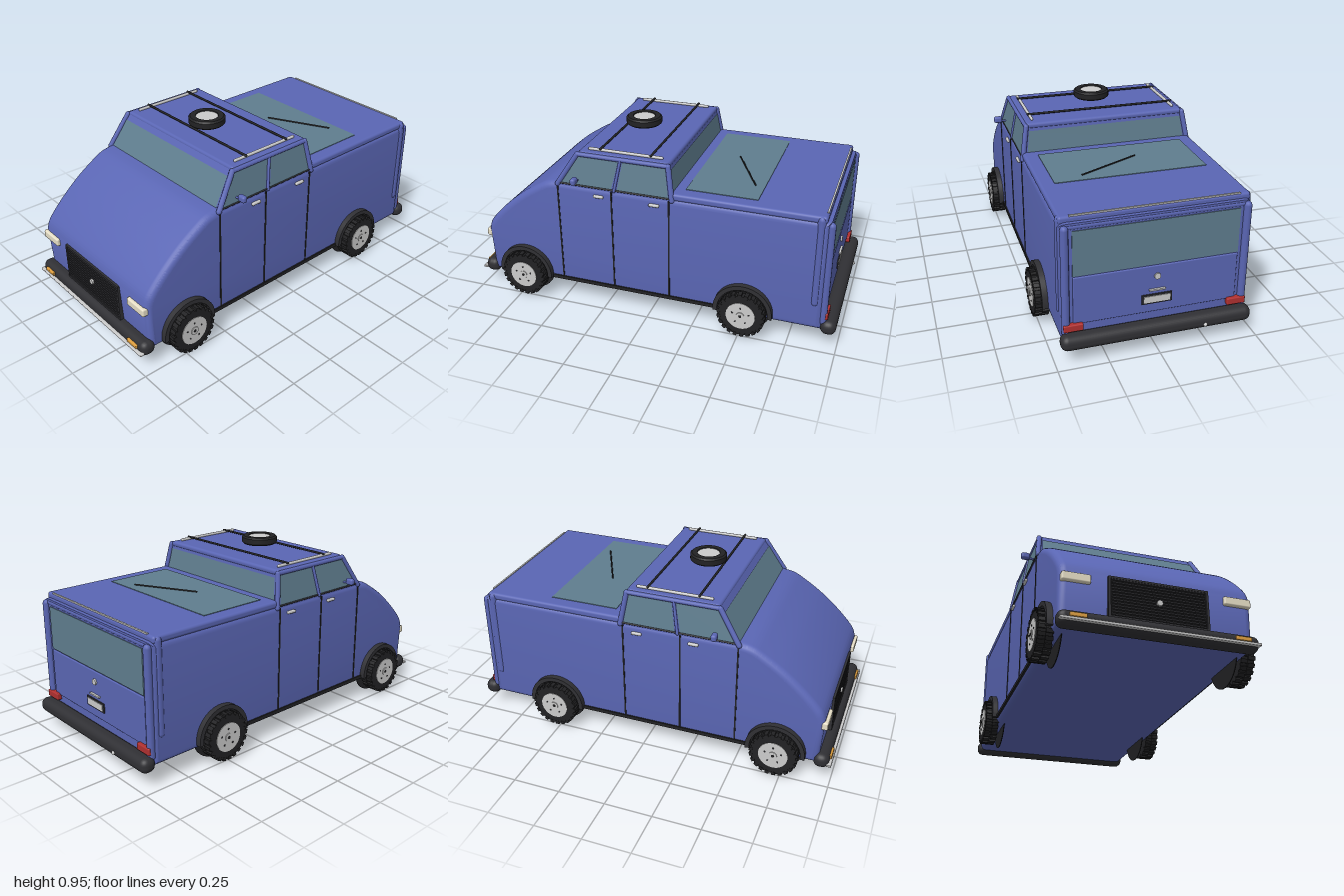
import * as THREE from 'three';
import { toCreasedNormals } from 'three/addons/utils/BufferGeometryUtils.js';
import { RoundedBoxGeometry } from 'three/addons/geometries/RoundedBoxGeometry.js';

const mat = (color) => new THREE.MeshStandardMaterial({ color });
const paint = mat(0x5a66b4), glass = mat(0x5f7d8e), black = mat(0x222224), trim = mat(0x303034);
const grey = mat(0xcccccc), cream = mat(0xe8e0c8), amber = mat(0xe0a040), red = mat(0xb03030);
glass.side = THREE.DoubleSide;

const V = (x, y, z) => new THREE.Vector3(x, y, z);

export function createModel() {
  const root = new THREE.Group();

  function add(name, geo, m, x = 0, y = 0, z = 0, parent = root) {
    const mesh = new THREE.Mesh(geo, m);
    mesh.name = name;
    mesh.position.set(x, y, z);
    parent.add(mesh);
    return mesh;
  }
  // Box given by its extents on each axis; r rounds the edges
  function box(name, m, [x0, x1], [y0, y1], [z0, z1], r = 0) {
    const s = [x1 - x0, y1 - y0, z1 - z0];
    const geo = r ? new RoundedBoxGeometry(...s, 3, r) : new THREE.BoxGeometry(...s);
    return add(name, geo, m, (x0 + x1) / 2, (y0 + y1) / 2, (z0 + z1) / 2);
  }
  // Round bar with domed ends between two points
  function bar(name, m, a, b, r) {
    const mesh = add(name, new THREE.CapsuleGeometry(r, a.distanceTo(b), 4, 10), m);
    mesh.position.copy(a).add(b).multiplyScalar(0.5);
    mesh.quaternion.setFromUnitVectors(V(0, 1, 0), b.clone().sub(a).normalize());
    return mesh;
  }
  // Flat polygon given by its corners
  function panel(name, m, pts) {
    const g = new THREE.BufferGeometry().setFromPoints(pts);
    g.setIndex(pts.slice(2).flatMap((_, i) => [0, i + 1, i + 2]));
    g.computeVertexNormals();
    return add(name, g, m);
  }
  // Disc or drum with its axis along x
  const drum = (r, w, n = 32) => new THREE.CylinderGeometry(r, r, w, n).rotateZ(Math.PI / 2);

  // Lower body: side profile with rolled edges
  const s = new THREE.Shape();
  s.moveTo(-0.92, 0.1);
  s.lineTo(0.93, 0.1);
  s.lineTo(0.944, 0.36);
  s.splineThru([[0.92, 0.415], [0.837, 0.505], [0.73, 0.597], [0.623, 0.668], [0.56, 0.7], [0.49, 0.712]]
    .map(([a, b]) => new THREE.Vector2(a, b)));
  s.lineTo(-0.92, 0.712);
  const bevel = 0.035, depth = 0.93 - 2 * bevel;
  const bodyGeo = new THREE.ExtrudeGeometry(s, {
    depth, bevelSize: bevel, bevelThickness: bevel, bevelOffset: -bevel, bevelSegments: 5, curveSegments: 24,
  });
  bodyGeo.translate(0, 0, -depth / 2).rotateY(-Math.PI / 2);
  add('body', toCreasedNormals(bodyGeo, 0.6), paint);

  // Rear deck with skylight, wiper and chrome strip
  box('rearDeck', paint, [-0.462, 0.462], [0.7, 0.738], [-0.9, -0.12], 0.014);
  box('deckGlass', glass, [-0.39, 0.39], [0.73, 0.741], [-0.55, -0.18]);
  bar('deckWiper', black, V(-0.08, 0.745, -0.34), V(0.24, 0.745, -0.5), 0.004);
  box('deckStrip', grey, [-0.41, 0.41], [0.735, 0.742], [-0.897, -0.888]);

  // Cabin: a tapered box, corners by (right/left, low/high, rear/front)
  const corner = (x, v, front) => {
    const z0 = front ? 0.5 : -0.13, z1 = front ? 0.385 : -0.1;
    return V(x * (0.46 - 0.03 * v), 0.695 + 0.18 * v, z0 + (z1 - z0) * v);
  };
  const cabGeo = new THREE.BoxGeometry(2, 1, 1);
  const p = cabGeo.attributes.position;
  for (let i = 0; i < p.count; i++) {
    const c = corner(p.getX(i), p.getY(i) + 0.5, p.getZ(i) > 0);
    p.setXYZ(i, c.x, c.y, c.z);
  }
  cabGeo.computeVertexNormals();
  add('cabin', cabGeo, paint);
  box('roof', paint, [-0.43, 0.43], [0.855, 0.886], [-0.105, 0.387], 0.014);

  // Windscreen and rear window
  for (const [name, front, off] of [['windscreen', true, 0.004], ['cabinRearWindow', false, -0.004]]) {
    const at = (x, v) => corner(x, v, front).add(V(0, 0.002, off));
    panel(name, glass, [at(-0.95, 0.06), at(0.95, 0.06), at(0.96, 0.83), at(-0.96, 0.83)]);
  }

  for (const side of [-1, 1]) {
    // Pillars and side windows
    for (const front of [true, false])
      bar('cabinPillar', paint, corner(side, 0.03, front), corner(side, 0.97, front), 0.014);
    bar('roofEdge', paint, corner(side, 0.97, true), corner(side, 0.97, false), 0.012);
    const sidePoint = (z, v) => V(side * (0.464 - 0.03 * v), 0.695 + 0.18 * v, z);
    panel('frontSideWindow', glass,
      [sidePoint(0.475, 0.1), sidePoint(0.195, 0.1), sidePoint(0.163, 0.91), sidePoint(0.385, 0.91)]);
    panel('rearSideWindow', glass,
      [sidePoint(0.165, 0.1), sidePoint(-0.11, 0.1), sidePoint(-0.088, 0.91), sidePoint(0.14, 0.91)]);
    bar('doorPillar', paint, sidePoint(0.18, 0.05), sidePoint(0.152, 0.95), 0.008);
    bar('beltLine', trim, V(side * 0.46, 0.708, 0.495), V(side * 0.46, 0.708, -0.12), 0.005);

    // Door seams, handles, sill and mirror
    for (const z of [0.495, 0.195, -0.115])
      add('doorSeam', new THREE.BoxGeometry(0.008, 0.565, 0.008), black, side * 0.464, 0.415, z);
    for (const z of [0.265, -0.037])
      add('doorHandle', new RoundedBoxGeometry(0.016, 0.016, 0.055, 2, 0.006), grey, side * 0.47, 0.664, z);
    add('sill', new THREE.BoxGeometry(0.016, 0.02, 0.94), black, side * 0.464, 0.132, 0.1);
    add('mirror', new RoundedBoxGeometry(0.046, 0.036, 0.03, 3, 0.012), paint, side * 0.5, 0.748, 0.383);
    bar('mirrorArm', paint, V(side * 0.45, 0.735, 0.383), V(side * 0.49, 0.742, 0.383), 0.006);

    // Rear posts
    bar('sidePost', paint, V(side * 0.45, 0.258, -0.873), V(side * 0.45, 0.715, -0.873), 0.022);
    bar('tailgatePost', paint, V(side * 0.44, 0.15, -0.92), V(side * 0.44, 0.685, -0.92), 0.02);

    // Lamps
    const span = (a, b) => (side > 0 ? [a, b] : [-b, -a]);
    box('headlight', cream, span(0.32, 0.455), [0.307, 0.35], [0.91, 0.96], 0.008);
    box('indicator', amber, span(0.347, 0.425), [0.117, 0.137], [0.97, 0.994], 0.004);
    box('tailLight', red, span(0.36, 0.455), [0.163, 0.2], [-0.945, -0.9], 0.006);

    // Roof rack rail
    bar('rackRail', grey, V(side * 0.39, 0.892, -0.055), V(side * 0.39, 0.892, 0.335), 0.008);

    for (const z of [0.714, -0.516]) {
      // Wheel arch: flared ring, dark liner and inner shield
      const arch = new THREE.Shape();
      arch.absarc(0, 0, 0.155, -0.1, Math.PI + 0.1, false);
      arch.absarc(0, 0, 0.132, Math.PI + 0.1, -0.1, true);
      const archGeo = new THREE.ExtrudeGeometry(arch, { depth: 0.045, bevelEnabled: false, curveSegments: 28 });
      archGeo.translate(0, 0, -0.0225).rotateY(-Math.PI / 2);
      add('wheelArch', toCreasedNormals(archGeo, 0.6), trim, side * 0.472, 0.142, z);
      const liner = new THREE.CylinderGeometry(0.14, 0.14, 0.01, 24, 1, false, 0, Math.PI);
      add('archLiner', liner.rotateZ(Math.PI / 2), black, side * 0.463, 0.142, z);
      add('archShield', drum(0.14, 0.004), black, side * 0.42, 0.14, z);

      // Wheel with tread blocks, rim and hub
      const wheel = new THREE.Group();
      wheel.name = 'wheel';
      wheel.position.set(side * 0.487, 0.14, z);
      root.add(wheel);
      add('tyre', drum(0.116, 0.07), black, 0, 0, 0, wheel);
      for (let i = 0; i < 22; i++) {
        const a = (i / 22) * Math.PI * 2;
        for (const half of [-1, 1]) {
          const t = a + half * 0.07;
          const lug = add('tread', new THREE.BoxGeometry(0.036, 0.018, 0.02), black,
            half * 0.0185, Math.cos(t) * 0.116, Math.sin(t) * 0.116, wheel);
          lug.rotation.x = t;
        }
      }
      add('rim', drum(0.076, 0.012), grey, side * 0.032, 0, 0, wheel);
      add('hub', drum(0.022, 0.01, 16), grey, side * 0.037, 0, 0, wheel);
      add('hubNut', drum(0.008, 0.01, 8), black, side * 0.039, 0, 0, wheel);
      for (let i = 0; i < 5; i++) {
        const a = (i / 5) * Math.PI * 2;
        add('wheelNut', drum(0.005, 0.006, 8), trim, side * 0.037, Math.cos(a) * 0.045, Math.sin(a) * 0.045, wheel);
      }
    }
  }

  // Grille
  box('grille', black, [-0.235, 0.235], [0.16, 0.358], [0.92, 0.945]);
  for (let i = 0; i < 13; i++) {
    const y = 0.172 + i * 0.0145;
    box('grilleSlat', trim, [-0.225, 0.225], [y, y + 0.007], [0.94, 0.953]);
  }
  for (const x of [-0.235, 0.235]) box('grilleFrame', trim, [x - 0.006, x + 0.006], [0.16, 0.36], [0.925, 0.955]);
  for (const y of [0.163, 0.357]) box('grilleFrame', trim, [-0.24, 0.24], [y - 0.005, y + 0.005], [0.925, 0.955]);
  const disc = (r) => new THREE.CylinderGeometry(r, r, 0.012, 20).rotateX(Math.PI / 2);
  add('grilleButton', disc(0.014), grey, 0, 0.26, 0.955);

  // Bumpers
  box('frontBumper', trim, [-0.475, 0.475], [0.08, 0.158], [0.905, 0.985], 0.034);
  box('frontBumperStrip', grey, [-0.47, 0.47], [0.099, 0.112], [0.975, 1], 0.004);
  box('rearBumper', trim, [-0.475, 0.475], [0.08, 0.158], [-0.99, -0.91], 0.034);
  bar('exhaustTip', grey, V(-0.23, 0.11, -0.95), V(-0.23, 0.11, -0.99), 0.01);

  // Tailgate
  bar('tailgateTopRail', paint, V(-0.44, 0.692, -0.91), V(0.44, 0.692, -0.91), 0.014);
  box('tailgate', paint, [-0.405, 0.405], [0.19, 0.44], [-0.927, -0.9], 0.006);
  box('tailgateWindow', glass, [-0.405, 0.405], [0.445, 0.675], [-0.924, -0.9]);
  add('tailgateButton', disc(0.016), grey, 0, 0.385, -0.929);
  box('tailgateHandle', grey, [-0.04, 0.04], [0.31, 0.318], [-0.938, -0.92]);
  box('plate', trim, [-0.075, 0.075], [0.24, 0.29], [-0.933, -0.92]);
  box('plateFace', grey, [-0.065, 0.065], [0.248, 0.282], [-0.936, -0.92]);

  // Rack crossbars and spare wheel
  for (const z of [0, 0.272]) bar('rackCrossbar', black, V(-0.4, 0.9, z), V(0.4, 0.9, z), 0.006);
  const spare = [[0.05, -0.02], [0.088, -0.022], [0.097, -0.014], [0.097, 0.014], [0.088, 0.022], [0.06, 0.022], [0.056, 0.01]];
  const spareGeo = new THREE.LatheGeometry(spare.map(([a, b]) => new THREE.Vector2(a, b)), 36);
  add('spareTyre', toCreasedNormals(spareGeo, 0.5), black, 0, 0.928, 0.185);
  add('spareRim', new THREE.CylinderGeometry(0.06, 0.06, 0.034, 32), grey, 0, 0.928, 0.185);

  return root;
}
